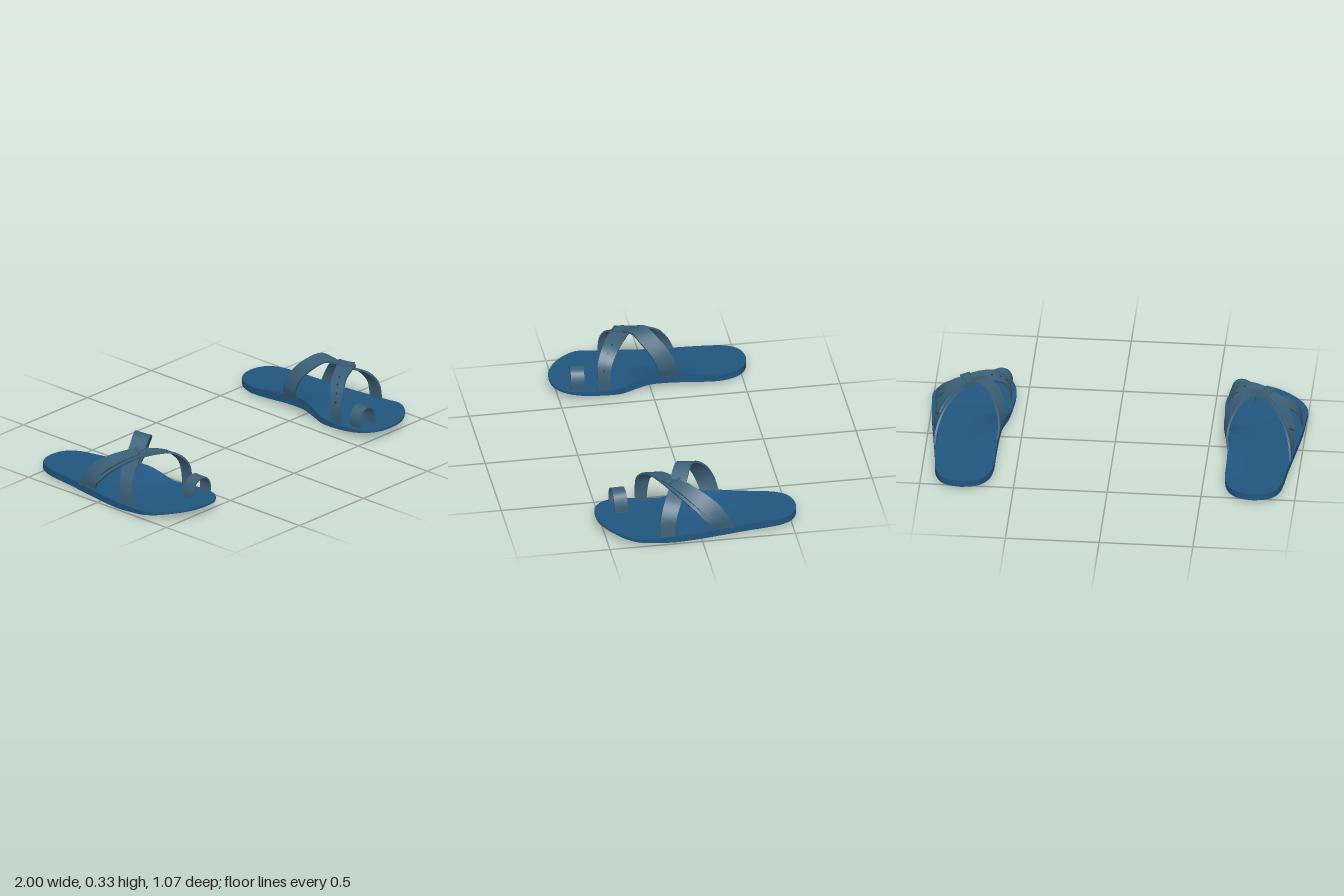
import * as THREE from 'three';
import { mergeGeometries } from 'three/addons/utils/BufferGeometryUtils.js';

const V = (x, y, z) => new THREE.Vector3(x, y, z);
const spline = (pts) => new THREE.CatmullRomCurve3(pts.map((p) => V(...p)), false, 'catmullrom', 0.5);
const lerp = THREE.MathUtils.lerp;

// Surface patch from fn(a, b) with a, b in 0..1; it faces along da x db
function patch(na, nb, fn) {
  const pos = [], idx = [];
  for (let j = 0; j <= nb; j++) {
    for (let i = 0; i <= na; i++) pos.push(...fn(i / na, j / nb).toArray());
  }
  for (let j = 0; j < nb; j++) {
    for (let i = 0; i < na; i++) {
      const a = j * (na + 1) + i, d = a + na + 1;
      idx.push(a, a + 1, d + 1, a, d + 1, d);
    }
  }
  const g = new THREE.BufferGeometry();
  g.setAttribute('position', new THREE.Float32BufferAttribute(pos, 3));
  g.setIndex(idx);
  g.computeVertexNormals();
  return g;
}

// Sole sections from heel to toe: z, inner x, outer x, bottom y, top y, arch lift
const SOLE = [
  [-0.54, 0.78, 0.78, 0.016, 0.052, 0], [-0.53, 0.722, 0.835, 0.016, 0.052, 0],
  [-0.5, 0.67, 0.885, 0.014, 0.051, 0], [-0.44, 0.633, 0.917, 0.012, 0.05, 0],
  [-0.36, 0.617, 0.931, 0.01, 0.049, 0.003], [-0.25, 0.615, 0.941, 0.007, 0.047, 0.018],
  [-0.12, 0.612, 0.957, 0.003, 0.041, 0.042], [0, 0.605, 0.972, 0, 0.037, 0.053],
  [0.08, 0.593, 0.983, 0.001, 0.037, 0.034], [0.16, 0.58, 0.992, 0.004, 0.037, 0.006],
  [0.25, 0.566, 0.998, 0.014, 0.04, 0], [0.33, 0.558, 1.0, 0.024, 0.045, 0],
  [0.4, 0.562, 0.965, 0.031, 0.049, 0], [0.46, 0.582, 0.905, 0.038, 0.053, 0],
  [0.5, 0.615, 0.845, 0.042, 0.055, 0], [0.525, 0.66, 0.785, 0.045, 0.057, 0],
  [0.532, 0.72, 0.72, 0.046, 0.057, 0],
];

function soleGeometry() {
  const plan = spline(SOLE.map(([z, xi, xo]) => [xi, xo, z]));
  const heights = spline(SOLE.map((r) => r.slice(3)));
  // u runs from inner to outer edge, v from heel to toe, h from bottom to top
  const at = (u, v, h) => {
    const p = plan.getPoint(v), q = heights.getPoint(v);
    const arch = Math.max(0, q.z) * Math.pow(Math.max(0, 1 - u / 0.55), 1.3);
    return V(lerp(p.x, p.y, u), lerp(q.x + arch * 0.65, q.y + arch, h), p.z);
  };
  const n = 80;
  return mergeGeometries([
    patch(n, 16, (v, u) => at(u, v, 1)),
    patch(16, n, (u, v) => at(u, v, 0)),
    patch(1, n, (h, v) => at(1, v, h)),
    patch(n, 1, (v, h) => at(0, v, h)),
  ]);
}

// Position, tangent, outward normal and width direction along a strap
function frame(curve, t, cx) {
  const p = curve.getPoint(t), T = curve.getTangent(t);
  const N = V(p.x - cx, p.y - 0.05, 0);
  N.addScaledVector(T, -N.dot(T)).normalize();
  return { p, T, N, W: T.clone().cross(N).normalize() };
}

// Flat band along a curve; its cut ends sit level on the sole
function band(curve, { w0, w1 = w0, cx = 0.78, t0 = 0, t1 = 1, lift = 0, thick = 0.011 }) {
  const at = (a, n, s) => {
    const t = lerp(t0, t1, s), { p, N, W } = frame(curve, t, cx);
    W.y *= THREE.MathUtils.clamp((p.y - 0.04) / 0.1, 0, 1);
    return p.addScaledVector(W, a * lerp(w0, w1, t) / 2).addScaledVector(N, lift + n * thick / 2);
  };
  const ring = [[-1, 1], [1, 1], [1, -1], [-1, -1], [-1, 1]];
  const parts = [];
  for (let k = 0; k < 4; k++) {
    const [a, b] = [ring[k], ring[k + 1]];
    parts.push(patch(1, 48, (e, s) => at(lerp(a[0], b[0], e), lerp(a[1], b[1], e), s)));
  }
  parts.push(patch(1, 1, (n, w) => at(w * 2 - 1, n * 2 - 1, 1)));
  parts.push(patch(1, 1, (w, n) => at(w * 2 - 1, n * 2 - 1, 0)));
  return mergeGeometries(parts);
}

// Lay a geometry (x = along, y = outward, z = across) on a strap
function lay(geo, curve, t, lift) {
  const { p, T, N, W } = frame(curve, t, 0.78);
  return geo.applyMatrix4(new THREE.Matrix4().makeBasis(T, N, W).setPosition(p.addScaledVector(N, lift)));
}

function mirrored(geo) {
  const g = geo.clone().applyMatrix4(new THREE.Matrix4().makeScale(-1, 1, 1));
  const ix = g.index.array;
  for (let i = 0; i < ix.length; i += 3) [ix[i], ix[i + 1]] = [ix[i + 1], ix[i]];
  return g;
}

export function createModel() {
  const material = (name, color) => {
    const m = new THREE.MeshStandardMaterial({ color });
    m.name = name;
    return m;
  };
  const blue = material('sole blue', 0x21567f);
  const slate = material('strap slate', 0x3b6077);
  const dark = material('hole dark', 0x1d333f);

  // Strap centre lines
  const buckled = spline([
    [0.945, 0.035, -0.125], [0.948, 0.11, -0.085], [0.915, 0.19, 0.0], [0.84, 0.252, 0.1],
    [0.75, 0.262, 0.16], [0.66, 0.246, 0.21], [0.602, 0.19, 0.25], [0.583, 0.11, 0.26], [0.585, 0.03, 0.262],
  ]);
  const crossing = spline([
    [0.62, 0.055, -0.11], [0.6, 0.14, -0.085], [0.61, 0.22, -0.045], [0.65, 0.285, 0.01],
    [0.71, 0.314, 0.053], [0.78, 0.28, 0.088], [0.85, 0.234, 0.115], [0.92, 0.195, 0.15],
    [0.965, 0.13, 0.178], [0.978, 0.03, 0.187],
  ]);
  const toe = spline([
    [0.592, 0.045, 0.4], [0.588, 0.1, 0.4], [0.608, 0.142, 0.398], [0.645, 0.154, 0.395],
    [0.685, 0.138, 0.392], [0.706, 0.095, 0.39], [0.71, 0.04, 0.39],
  ]);

  // Buckle frame made of four bars
  const bars = [];
  for (const s of [-1, 1]) {
    bars.push(new THREE.BoxGeometry(0.008, 0.008, 0.085).translate(s * 0.024, 0, 0));
    bars.push(new THREE.BoxGeometry(0.056, 0.008, 0.008).translate(0, 0, s * 0.04));
  }
  bars.push(new THREE.BoxGeometry(0.05, 0.006, 0.007));

  // Punched holes as thin discs
  const holes = [0.6, 0.67, 0.74, 0.81].map((t) =>
    lay(new THREE.CylinderGeometry(0.005, 0.005, 0.003, 12), buckled, t, 0.006));

  const parts = [
    ['sole', soleGeometry(), blue],
    ['buckledStrap', band(buckled, { w0: 0.125, w1: 0.06 }), slate],
    ['strapTail', band(buckled, { w0: 0.075, w1: 0.06, t0: 0.19, t1: 0.46, lift: 0.01, thick: 0.009 }), slate],
    ['crossingStrap', band(crossing, { w0: 0.1, w1: 0.08 }), slate],
    ['toeLoop', band(toe, { w0: 0.072, cx: 0.648, thick: 0.008 }), slate],
    ['buckle', lay(mergeGeometries(bars), buckled, 0.44, 0.015), slate],
    ['strapHoles', mergeGeometries(holes), dark],
  ];

  const model = new THREE.Group();
  model.name = 'sandals';
  for (const side of ['left', 'right']) {
    const sandal = new THREE.Group();
    sandal.name = side + 'Sandal';
    for (const [name, geo, mat] of parts) {
      const mesh = new THREE.Mesh(side === 'left' ? geo : mirrored(geo), mat);
      mesh.name = name;
      sandal.add(mesh);
    }
    model.add(sandal);
  }
  return model;
}
